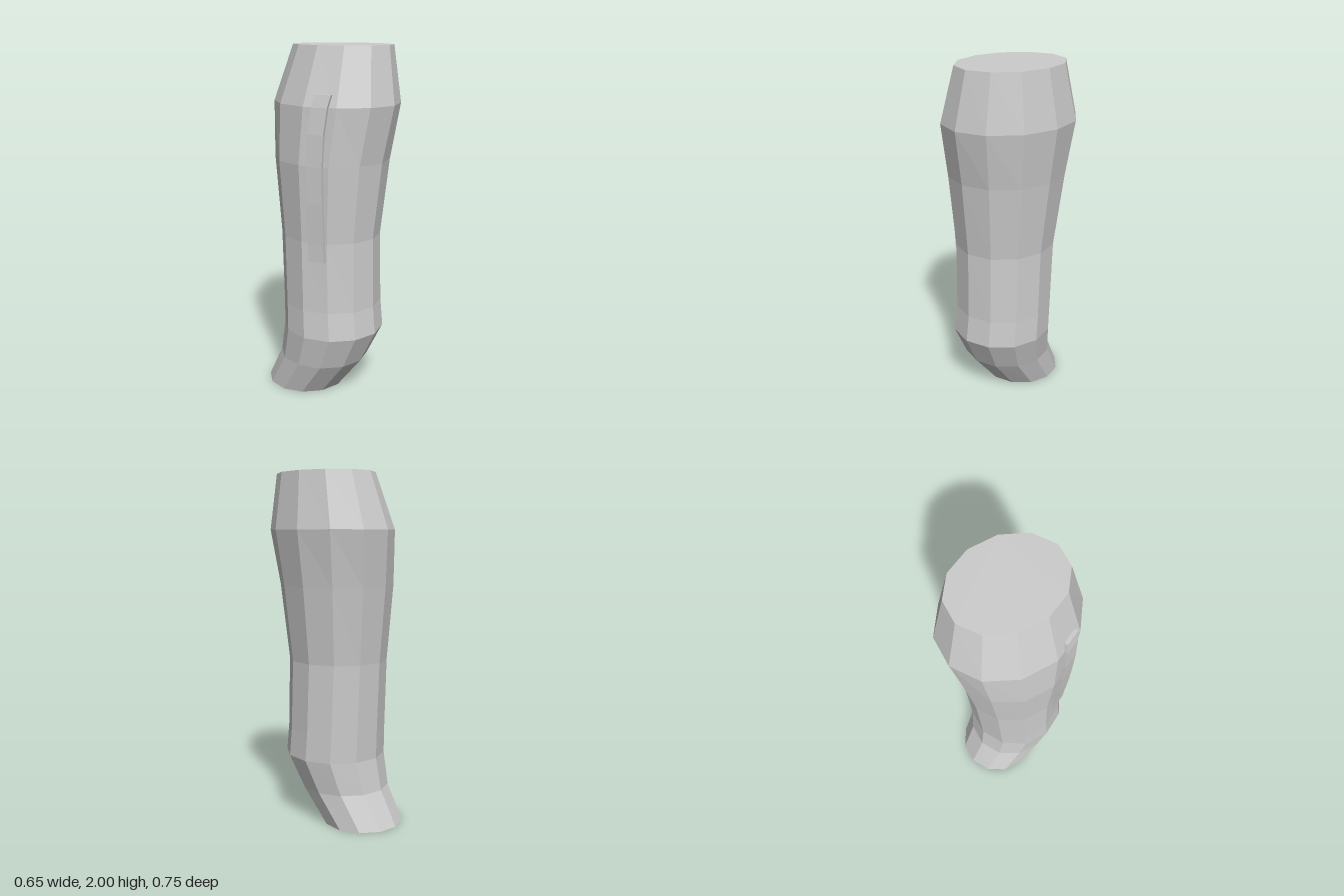
import * as THREE from 'three';

// Skin closed rings (counter-clockwise seen from -y, listed bottom to top) and cap both ends
function loft(rings) {
  const pos = [];
  const tri = (a, b, c) => pos.push(...a, ...b, ...c);
  const n = rings[0].length;
  for (let r = 0; r < rings.length - 1; r++) {
    const lo = rings[r], hi = rings[r + 1];
    for (let i = 0; i < n; i++) {
      const j = (i + 1) % n;
      tri(lo[i], hi[i], hi[j]);
      tri(lo[i], hi[j], lo[j]);
    }
  }
  const bottom = rings[0], top = rings[rings.length - 1];
  for (let i = 1; i < n - 1; i++) {
    tri(bottom[0], bottom[i], bottom[i + 1]);
    tri(top[0], top[i + 1], top[i]);
  }
  const g = new THREE.BufferGeometry();
  g.setAttribute('position', new THREE.Float32BufferAttribute(pos, 3));
  g.computeVertexNormals();
  return g;
}

// Twelve-sided ring filling the given x and z extents
function ovalRing([y, x0, x1, z0, z1]) {
  const k = Math.cos(Math.PI / 12);
  const ring = [];
  for (let i = 0; i < 12; i++) {
    const a = ((i + 0.5) / 12) * Math.PI * 2;
    ring.push([
      (x0 + x1) / 2 + ((x1 - x0) / 2 / k) * Math.cos(a),
      y,
      (z0 + z1) / 2 + ((z1 - z0) / 2 / k) * Math.sin(a),
    ]);
  }
  return ring;
}

// Four-cornered strip section; x, z is the inner back corner
function stripRing([y, x, z]) {
  return [
    [x, y, z],
    [x + 0.04, y, z + 0.083],
    [x + 0.023, y, z + 0.091],
    [x - 0.018, y, z + 0.008],
  ];
}

export function createModel() {
  const model = new THREE.Group();
  const grey = new THREE.MeshStandardMaterial({ color: 0xcccccc });
  grey.name = 'light grey';
  grey.flatShading = true;

  // Curved grip: y, min x, max x, min z, max z
  const grip = new THREE.Mesh(loft([
    [0, -0.323, 0.122, -0.375, 0.07],
    [0.2, -0.31, 0.18, -0.28, 0.225],
    [0.39, -0.315, 0.24, -0.255, 0.31],
    [0.55, -0.308, 0.235, -0.262, 0.292],
    [0.95, -0.305, 0.23, -0.28, 0.285],
    [1.38, -0.325, 0.28, -0.33, 0.325],
    [1.69, -0.304, 0.324, -0.375, 0.375],
    [2, -0.197, 0.285, -0.29, 0.314],
  ].map(ovalRing)), grey);
  grip.name = 'grip';
  model.add(grip);

  // Thin strip following the grip's right front facet
  const strip = new THREE.Mesh(loft([
    [0.85, -0.282, 0.125],
    [0.95, -0.285, 0.127],
    [1.18, -0.298, 0.13],
    [1.38, -0.302, 0.133],
    [1.55, -0.296, 0.14],
    [1.69, -0.278, 0.15],
    [1.755, -0.258, 0.157],
  ].map(stripRing)), grey);
  strip.name = 'sideStrip';
  model.add(strip);

  return model;
}
